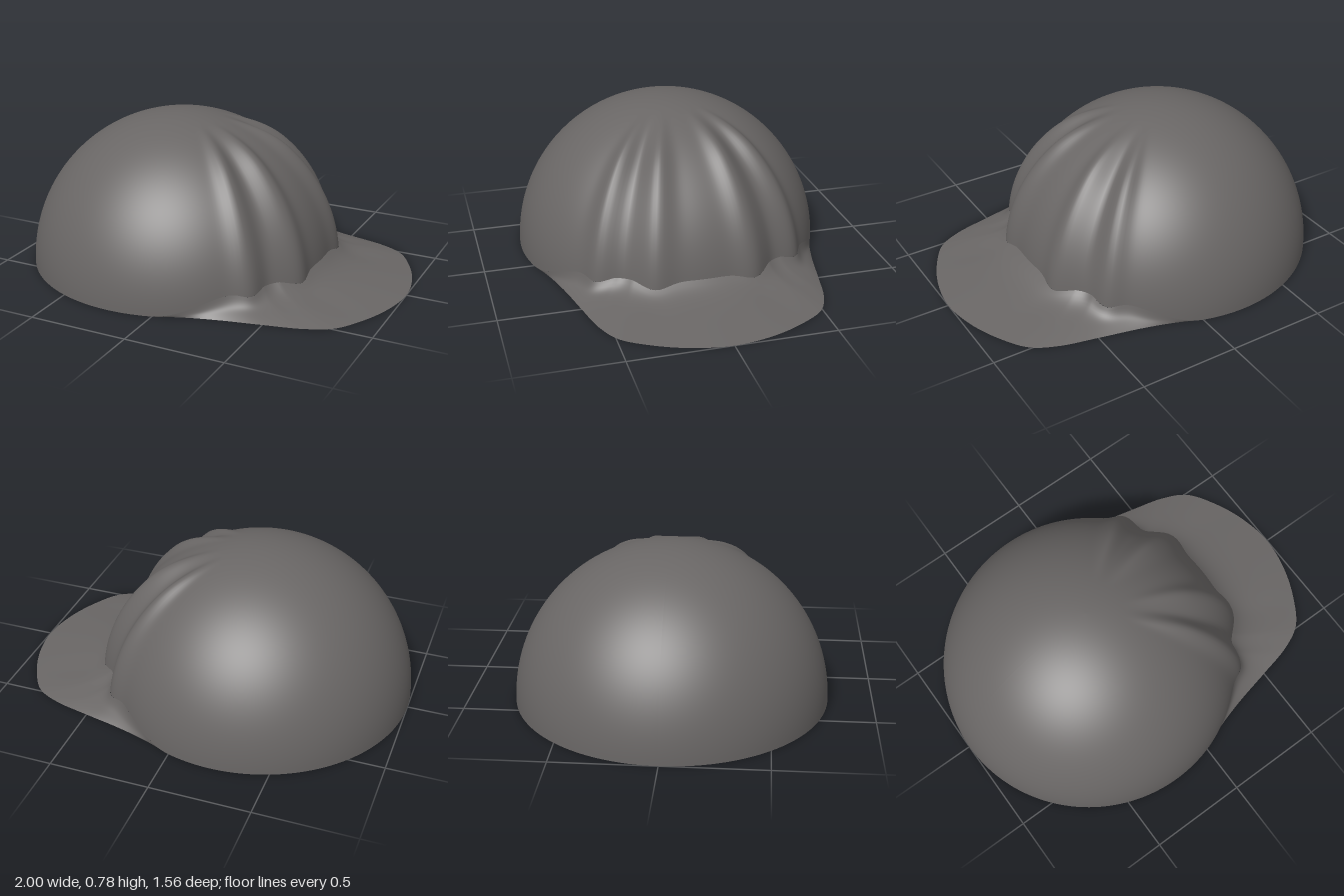
import * as THREE from 'three';

const R = 0.78;          // crown radius
const CX = -0.22;        // crown centre in x
const DEG = Math.PI / 180;
const smooth = THREE.MathUtils.smoothstep;

// Raised ribs on the front of the crown: [angle, half width, height], mirrored
const RIBS = [[18, 6, 0.036], [39.5, 5, 0.03]];

function ribHeight(az) {
  const a = Math.abs(az) / DEG;
  let h = 0;
  for (const [centre, width, height] of RIBS) h += height * Math.exp(-(((a - centre) / width) ** 2));
  return h - 0.012 * Math.exp(-(((a - 30) / 4) ** 2)); // groove between the ribs
}

// Height at which the brim leaves the crown
function joinHeight(az) {
  const a = Math.abs(az) / DEG;
  return (1 - smooth(a, 42, 74)) * (0.105 - 0.8 * Math.max(0, ribHeight(az)));
}

// Point on the crown: t = 0 at the lower edge, 1 at the top
function crownPoint(az, t) {
  const low = Math.asin(joinHeight(az) / R);
  const el = low + (Math.PI / 2 - low) * t;
  const fade = 1 - smooth(el / DEG, 48, 76);
  const r = R + ribHeight(az) * fade;
  return new THREE.Vector3(CX + r * Math.cos(el) * Math.cos(az), r * Math.sin(el), -r * Math.cos(el) * Math.sin(az));
}

// Bends a flat grid into the surface f(u, v)
function surface(name, nu, nv, f, material) {
  const geo = new THREE.PlaneGeometry(1, 1, nu, nv);
  const { position, uv } = geo.attributes;
  for (let i = 0; i < position.count; i++) {
    const p = f(uv.getX(i), uv.getY(i));
    position.setXYZ(i, p.x, p.y, p.z);
  }
  geo.computeVertexNormals();
  const mesh = new THREE.Mesh(geo, material);
  mesh.name = name;
  return mesh;
}

export function createModel() {
  const group = new THREE.Group();
  group.name = 'cap';
  const cloth = new THREE.MeshStandardMaterial({ color: 0x696665, side: THREE.DoubleSide });

  // Domed crown, open underneath
  group.add(surface('crown', 240, 48, (u, v) => crownPoint((u * 2 - 1) * Math.PI, v), cloth));

  // Brim outline, one half mirrored to the other
  const half = [[0.0, 0.748], [0.14, 0.692], [0.3, 0.645], [0.5, 0.6], [0.69, 0.553], [0.81, 0.49], [0.9, 0.36], [0.97, 0.19]];
  const outline = new THREE.CatmullRomCurve3([
    ...half.map(([x, z]) => new THREE.Vector3(x, 0, z)),
    new THREE.Vector3(1, 0, 0),
    ...half.slice().reverse().map(([x, z]) => new THREE.Vector3(x, 0, -z)),
  ], false, 'centripetal');

  // Brim: a thin sheet flaring down from the crown to the outline
  group.add(surface('brim', 160, 20, (u, v) => {
    const edge = outline.getPointAt(u);
    const az = Math.atan2(-edge.z, edge.x - CX);
    const root = crownPoint(az, 0);
    const p = root.clone().lerp(edge, 1 - v);
    p.y = root.y * (0.45 * v ** 7 + 0.55 * v);
    return p;
  }, cloth));

  return group;
}
